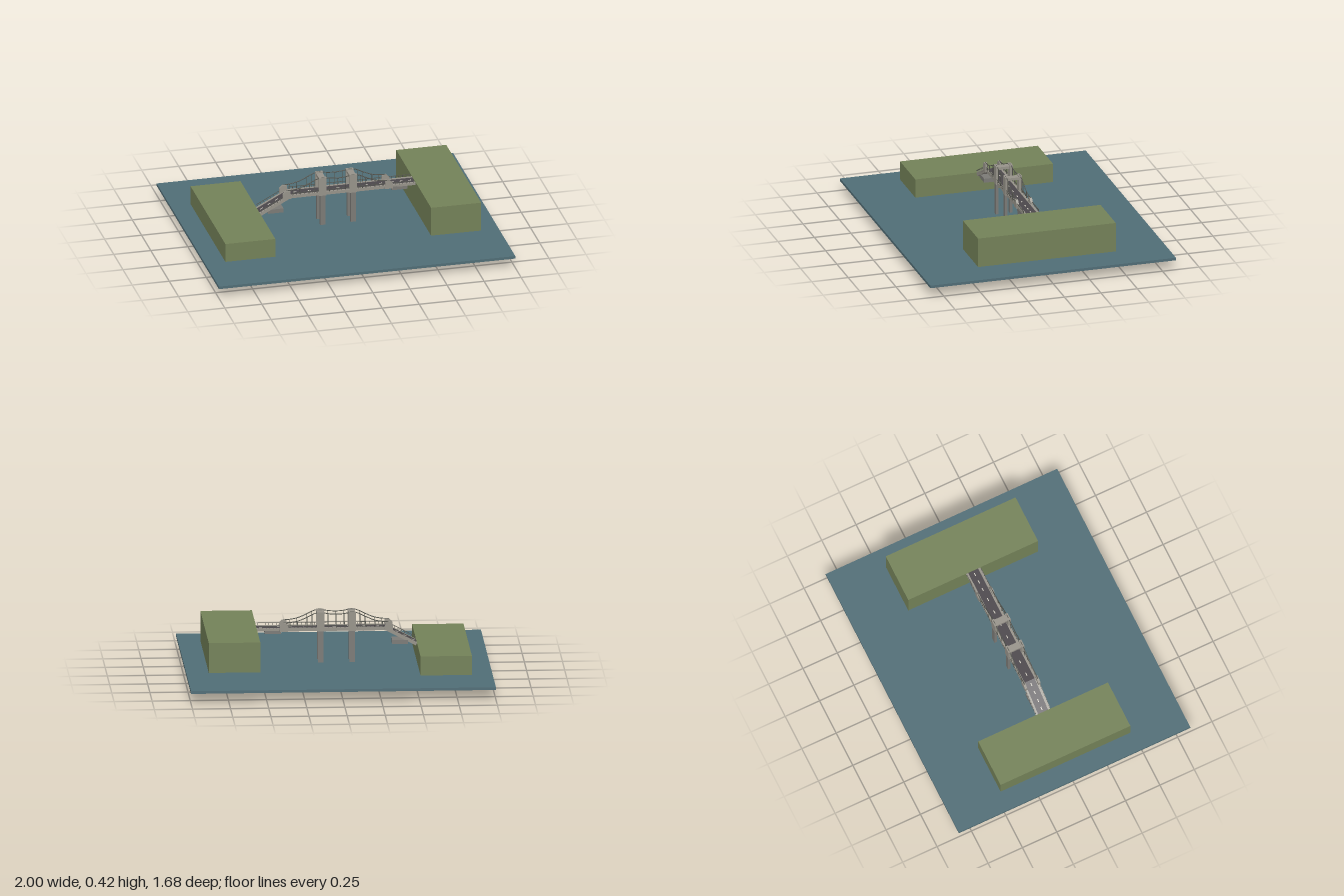
import * as THREE from 'three';

const mat = (name, color, side = THREE.FrontSide) =>
  Object.assign(new THREE.MeshStandardMaterial({ color, side }), { name });

export function createModel() {
  const water = mat('water', 0x506d76);
  const grass = mat('grass', 0x738158);
  const stone = mat('pale stone', 0x97938a);
  const pier = mat('pier grey', 0x7b7a76);
  const asphalt = mat('asphalt', 0x4b474b);
  const paint = mat('road paint', 0xcfcbc0);
  const steel = mat('dark steel', 0x55564f);

  const model = new THREE.Group();
  model.name = 'suspensionBridge';

  // Box given by its limits on each axis
  const box = (parent, name, m, x0, x1, y0, y1, z0, z1) => {
    const mesh = new THREE.Mesh(new THREE.BoxGeometry(x1 - x0, y1 - y0, z1 - z0), m);
    mesh.position.set((x0 + x1) / 2, (y0 + y1) / 2, (z0 + z1) / 2);
    mesh.name = name;
    parent.add(mesh);
    return mesh;
  };
  // The same box on both sides of the road
  const pair = (parent, name, m, x0, x1, y0, y1, z0, z1) => {
    box(parent, name, m, x0, x1, y0, y1, z0, z1);
    box(parent, name, m, x0, x1, y0, y1, -z1, -z0);
  };

  // Water sheet and the two banks
  box(model, 'waterSheet', water, -1, 1, 0.066, 0.084, -0.842, 0.842);
  box(model, 'lowBank', grass, -0.864, -0.527, 0.08, 0.212, -0.472, 0.472);
  box(model, 'highBank', grass, 0.524, 0.862, 0.12, 0.32, -0.472, 0.472);

  // A stretch of roadway between two points of its top surface
  const roadway = (name, ax, ay, bx, by, thick, dashGap) => {
    const g = new THREE.Group();
    g.name = name;
    g.position.set(ax, ay, 0);
    g.rotation.z = Math.atan2(by - ay, bx - ax);
    const len = Math.hypot(bx - ax, by - ay);
    box(g, 'deck', stone, 0, len, -thick, -0.005, -0.05, 0.05);
    box(g, 'road', asphalt, 0, len, -0.005, -0.001, -0.036, 0.036);
    pair(g, 'sidewalk', stone, 0, len, -0.005, 0.002, 0.036, 0.052);
    // Lane dashes
    const dashes = Math.round(len / dashGap);
    for (let i = 0; i < dashes; i++) {
      const x = (i + 0.5) * len / dashes;
      box(g, 'laneDash', paint, x - 0.011, x + 0.011, -0.001, 0.0005, -0.003, 0.003);
    }
    // Railing rails and posts
    pair(g, 'railing', steel, 0.015, len - 0.015, 0.015, 0.018, 0.05, 0.053);
    const posts = Math.round(len / 0.03);
    for (let i = 0; i <= posts; i++) {
      const x = 0.015 + i * (len - 0.033) / posts;
      pair(g, 'railingPost', steel, x, x + 0.003, 0.002, 0.016, 0.05, 0.053);
    }
    model.add(g);
  };
  roadway('rampDeck', -0.529, 0.207, -0.325, 0.315, 0.02, 0.058);
  roadway('mainDeck', -0.325, 0.315, 0.35, 0.315, 0.02, 0.1);
  roadway('highDeck', 0.35, 0.315, 0.526, 0.315, 0.016, 0.058);

  // Abutment slabs below the approaches
  box(model, 'lowAbutment', pier, -0.47, -0.366, 0.2, 0.228, -0.05, 0.05);
  box(model, 'highAbutment', pier, 0.364, 0.47, 0.278, 0.304, -0.05, 0.05);

  // Towers: slim piers, stout upper legs and a cross beam
  for (const x of [-0.103, 0.103]) {
    const g = new THREE.Group();
    g.name = 'tower';
    g.position.x = x;
    pair(g, 'towerPier', pier, -0.017, 0.017, 0, 0.296, 0.039, 0.057);
    pair(g, 'towerLeg', stone, -0.025, 0.025, 0.294, 0.421, 0.037, 0.058);
    box(g, 'towerBeam', stone, -0.022, 0.022, 0.396, 0.414, -0.038, 0.038);
    model.add(g);
  }

  // Cable anchors with a sloping shoulder, mirrored end for end
  const profile = new THREE.Shape([
    [0.315, 0.294], [0.372, 0.294], [0.372, 0.33], [0.35, 0.352], [0.322, 0.349],
  ].map(([x, y]) => new THREE.Vector2(x, y)));
  for (const turn of [0, Math.PI]) {
    for (const z of [0.04, -0.056]) {
      const anchor = new THREE.Mesh(
        new THREE.ExtrudeGeometry(profile, { depth: 0.016, bevelEnabled: false }), stone);
      anchor.name = 'cableAnchor';
      anchor.position.z = z;
      const side = new THREE.Group();
      side.rotation.y = turn;
      side.add(anchor);
      model.add(side);
    }
  }

  // Main cables and their hangers
  const points = [
    [-0.35, 0.35], [-0.3, 0.354], [-0.25, 0.364], [-0.19, 0.389], [-0.145, 0.411],
    [-0.103, 0.42], [-0.06, 0.411], [0, 0.406],
  ];
  const path = [...points, ...points.slice(0, -1).reverse().map(([x, y]) => [-x, y])];
  const heightAt = (x) => {
    const i = path.findIndex((p) => p[0] >= x);
    if (i < 1) return path[0][1];
    const [a, b] = [path[i - 1], path[i]];
    return a[1] + (b[1] - a[1]) * (x - a[0]) / (b[0] - a[0]);
  };
  for (const z of [-0.048, 0.048]) {
    const curve = new THREE.CatmullRomCurve3(path.map(([x, y]) => new THREE.Vector3(x, y, z)));
    const cable = new THREE.Mesh(new THREE.TubeGeometry(curve, 60, 0.003, 6), steel);
    cable.name = 'mainCable';
    model.add(cable);
    for (const x of [-0.3, -0.255, -0.19, -0.155, -0.055, 0, 0.055, 0.155, 0.19, 0.255, 0.3]) {
      box(model, 'hanger', steel, x - 0.0015, x + 0.0015, 0.31, heightAt(x), z - 0.0015, z + 0.0015);
    }
  }
  return model;
}
